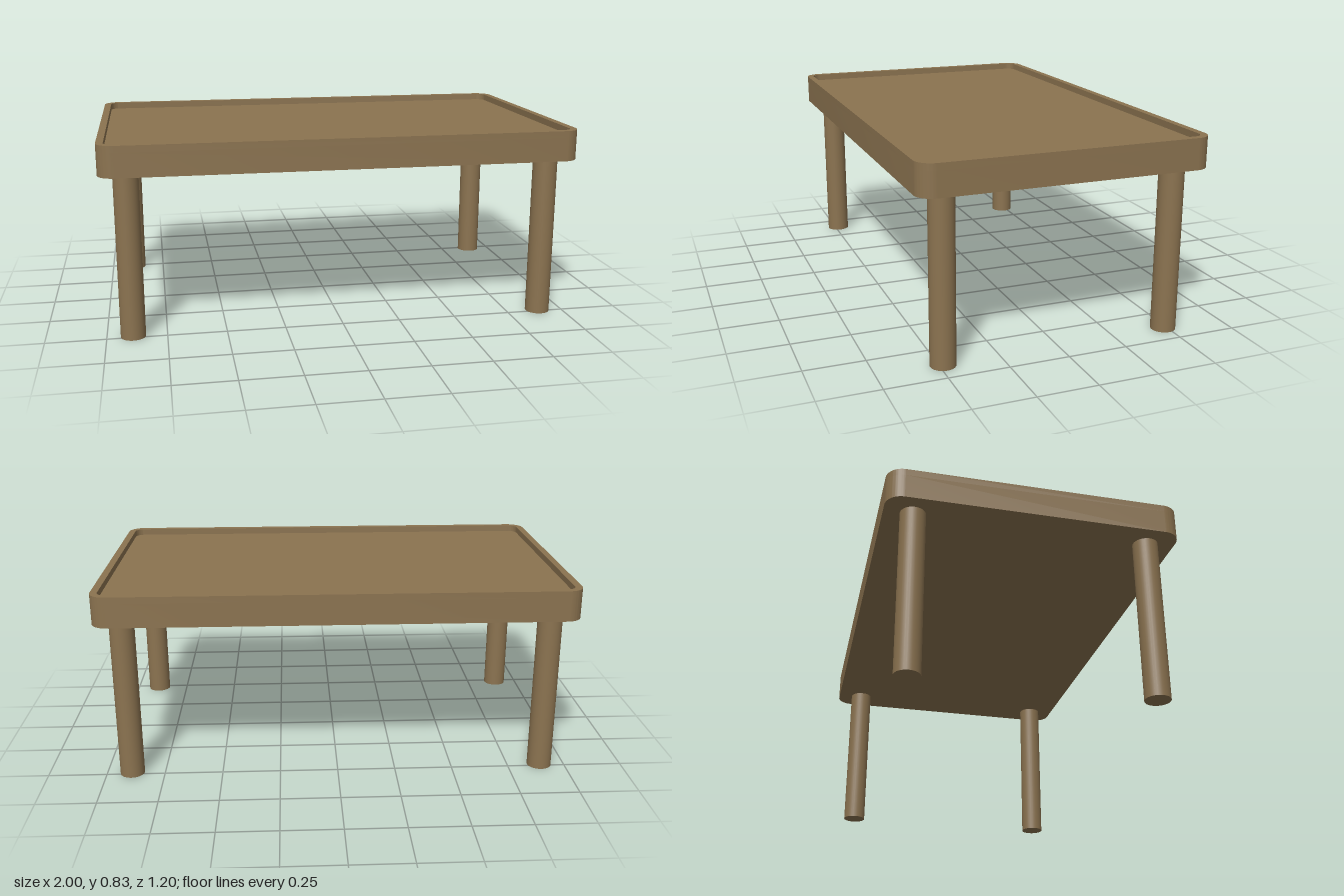
import * as THREE from 'three';
import { toCreasedNormals } from 'three/addons/utils/BufferGeometryUtils.js';

const HALF_X = 1, HALF_Z = 0.602, CORNER = 0.07, RIM = 0.03;
const BOTTOM = 0.702, FLOOR = 0.803, TOP = 0.831;

// Rounded rectangle, shrunk by an inset on every side
function roundedRect(inset, Type = THREE.Shape) {
  const x = HALF_X - inset, y = HALF_Z - inset, r = CORNER - inset;
  const s = new Type();
  s.absarc(x - r, y - r, r, 0, Math.PI / 2);
  s.absarc(r - x, y - r, r, Math.PI / 2, Math.PI);
  s.absarc(r - x, r - y, r, Math.PI, Math.PI * 1.5);
  s.absarc(x - r, r - y, r, Math.PI * 1.5, Math.PI * 2);
  s.closePath();
  return s;
}

// Upright prism from y0 to y1 with smooth rounded corners
function prism(shape, y0, y1) {
  const g = new THREE.ExtrudeGeometry(shape, { depth: y1 - y0, bevelEnabled: false, curveSegments: 12 });
  g.rotateX(-Math.PI / 2).translate(0, y0, 0);
  return toCreasedNormals(g, Math.PI / 6);
}

export function createModel() {
  const group = new THREE.Group();
  group.name = 'table';
  const wood = new THREE.MeshStandardMaterial({ color: 0x8b7350 });
  const add = (name, geometry) => {
    const mesh = new THREE.Mesh(geometry, wood);
    mesh.name = name;
    group.add(mesh);
    return mesh;
  };

  // Table top and the raised lip around it
  add('tableTop', prism(roundedRect(0), BOTTOM, FLOOR));
  const lip = roundedRect(0);
  lip.holes.push(roundedRect(RIM, THREE.Path));
  add('raisedRim', prism(lip, FLOOR, TOP));

  // Four round legs
  const legGeometry = new THREE.CylinderGeometry(0.052, 0.052, BOTTOM, 32);
  for (const [side, sx] of [['Left', 1], ['Right', -1]]) {
    for (const [end, sz] of [['front', 1], ['back', -1]]) {
      add(`${end}${side}Leg`, legGeometry).position.set(sx * 0.891, BOTTOM / 2, sz * 0.484);
    }
  }
  return group;
}
